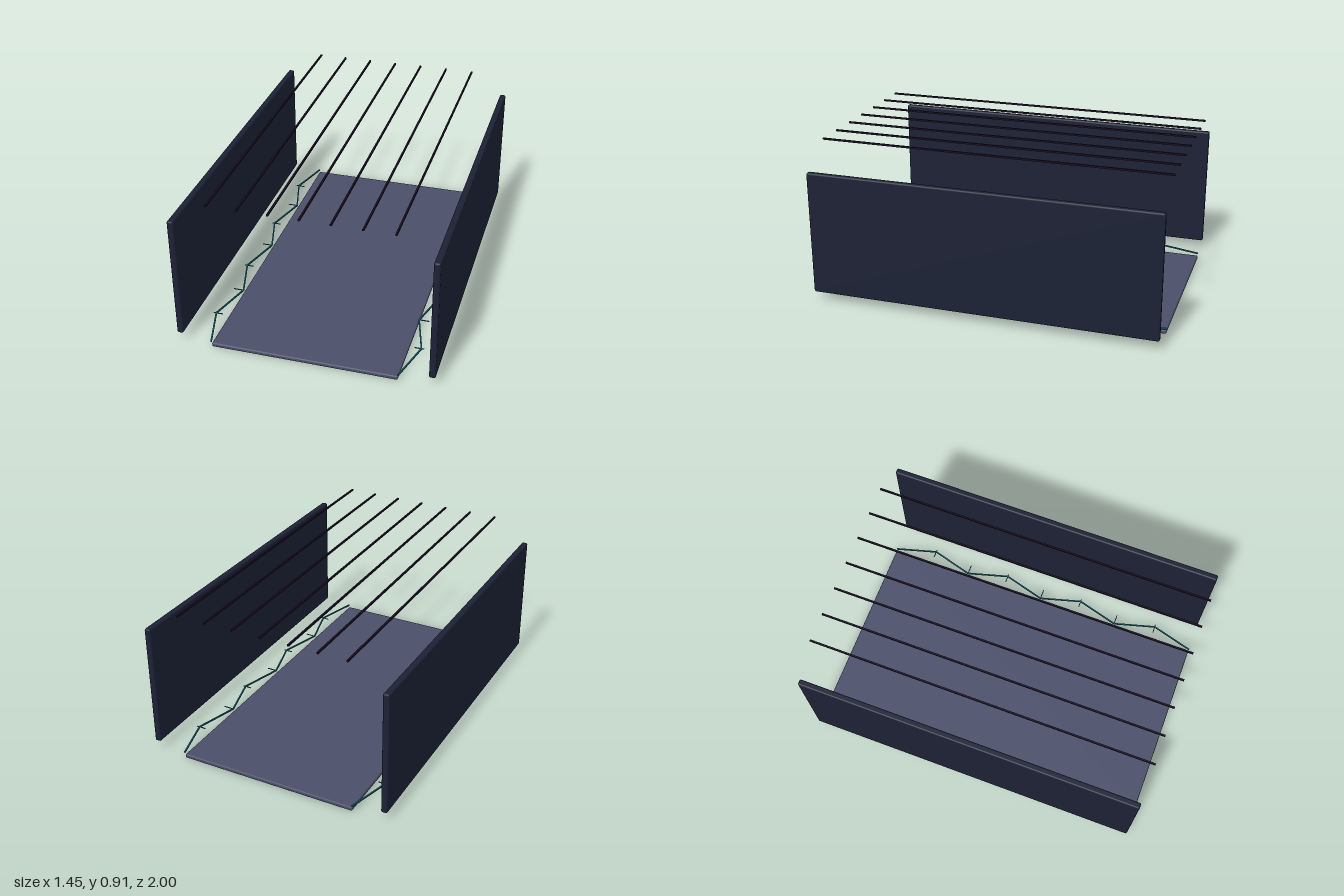
import * as THREE from 'three';
import { RoundedBoxGeometry } from 'three/addons/geometries/RoundedBoxGeometry.js';

const mat = (color) => new THREE.MeshStandardMaterial({ color });

export function createModel() {
  const model = new THREE.Group();
  const floorMat = mat(0x4a4e69), wallMat = mat(0x1c2135);
  const wireMat = mat(0x1a0f24), tealMat = mat(0x17606a);

  const add = (parent, name, geometry, material, x, y, z) => {
    const mesh = new THREE.Mesh(geometry, material);
    mesh.name = name;
    mesh.position.set(x, y, z);
    parent.add(mesh);
    return mesh;
  };

  // Floor slab
  add(model, 'floor', new RoundedBoxGeometry(1.05, 0.025, 2, 2, 0.008), floorMat, 0, 0.0125, 0);

  // Overhead wires
  const wires = new THREE.Group();
  wires.name = 'overheadWires';
  model.add(wires);
  const wireGeo = new THREE.BoxGeometry(0.01, 0.01, 2);
  for (let i = -3; i <= 3; i++) add(wires, 'wire', wireGeo, wireMat, i / 6, 0.905, 0);

  // Side walls, zigzag edge strips and their cross ticks
  const wallGeo = new RoundedBoxGeometry(0.036, 0.72, 2, 2, 0.01);
  const tickGeo = new THREE.BoxGeometry(0.054, 0.004, 0.005);
  const innerTickGeo = new THREE.BoxGeometry(0.062, 0.004, 0.005);
  const inner = 0.527, outer = 0.597, step = 0.25, y = 0.037;
  const rodGeo = new THREE.BoxGeometry(0.008, 0.008, Math.hypot(outer - inner, step));
  for (const side of [1, -1]) {
    const name = side > 0 ? 'left' : 'right';
    add(model, name + 'Wall', wallGeo, wallMat, side * 0.709, 0.415, 0);

    const strip = new THREE.Group();
    strip.name = name + 'ZigzagStrip';
    model.add(strip);
    for (let i = 0; i < 8; i++) {
      const z = -1 + i * step;
      const out = i % 2 === 1;
      const rod = add(strip, 'zigzagRod', rodGeo, tealMat, side * (inner + outer) / 2, y, z + step / 2);
      rod.rotation.y = side * (out ? -1 : 1) * Math.atan2(outer - inner, step);
      if (i > 0) add(strip, 'crossTick', out ? tickGeo : innerTickGeo, tealMat, side * (out ? 0.585 : 0.555), y, z);
    }
  }
  return model;
}
